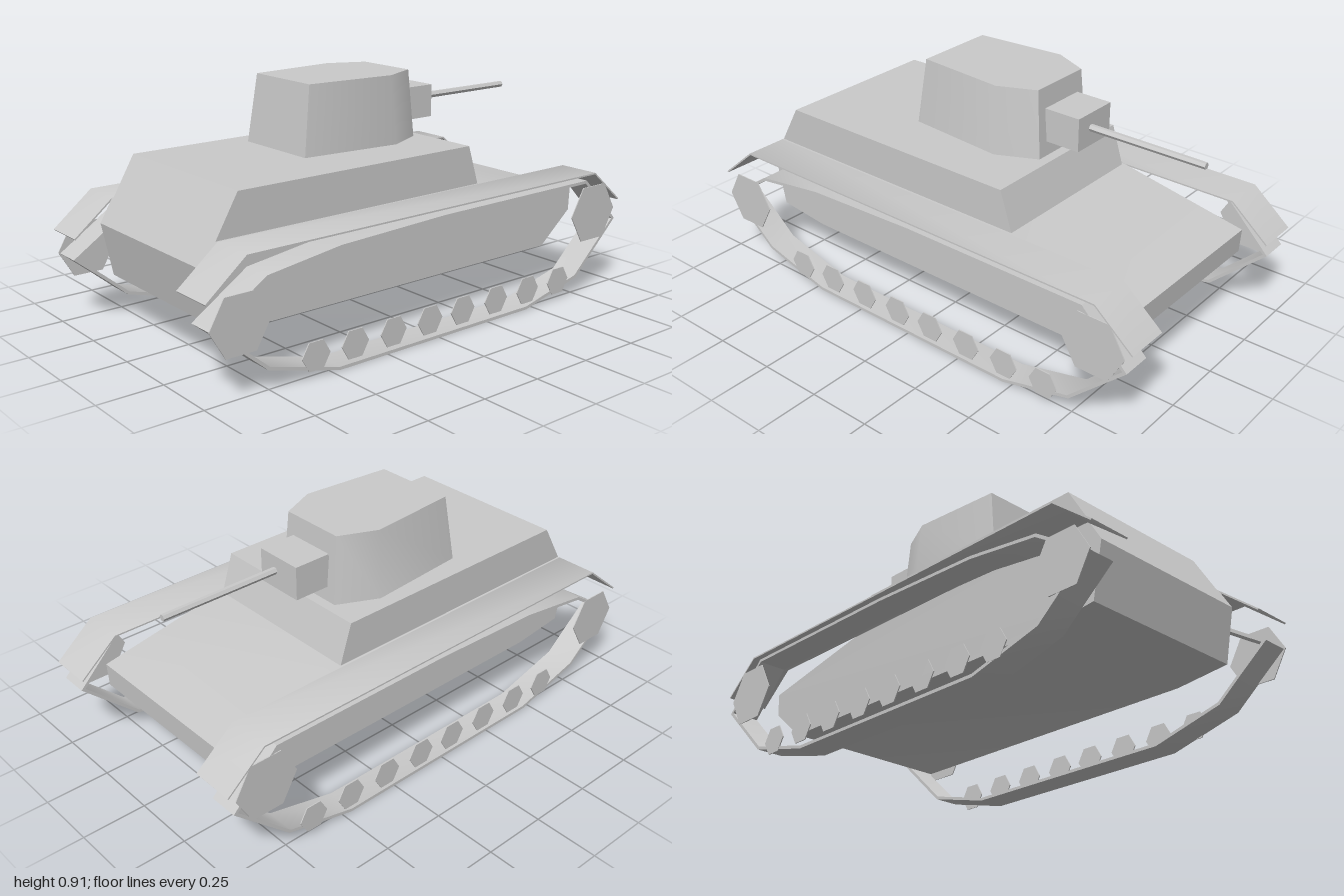
import * as THREE from 'three';
import { toCreasedNormals } from 'three/addons/utils/BufferGeometryUtils.js';
import { ConvexGeometry } from 'three/addons/geometries/ConvexGeometry.js';

const paint = new THREE.MeshStandardMaterial({ color: 0xcacaca });
paint.name = 'plainGrey';
const CREASE = 0.72;

const toPoints = (list) => list.map(([z, y]) => new THREE.Vector2(z, y));

function addMesh(parent, name, geometry) {
  const mesh = new THREE.Mesh(geometry, paint);
  mesh.name = name;
  parent.add(mesh);
  return mesh;
}

// Extrude a side profile (z, y) across the given width, centred on x = 0
function sideExtrude(shape, width) {
  const geo = new THREE.ExtrudeGeometry(shape, { depth: width, bevelEnabled: false });
  geo.translate(0, 0, -width / 2);
  geo.rotateY(-Math.PI / 2);
  return toCreasedNormals(geo, CREASE);
}

// Shift a polyline to its right-hand side by distance d, with mitred corners
function offset(pts, d, closed) {
  const n = pts.length;
  const normal = (a, b) => new THREE.Vector2(b.y - a.y, a.x - b.x).normalize();
  return pts.map((p, i) => {
    const prev = closed || i > 0 ? pts[(i + n - 1) % n] : null;
    const next = closed || i < n - 1 ? pts[(i + 1) % n] : null;
    const n1 = prev ? normal(prev, p) : normal(p, next);
    const n2 = next ? normal(p, next) : n1;
    const mitre = n1.clone().add(n2).normalize();
    return p.clone().addScaledVector(mitre, d / mitre.dot(n1));
  });
}

// Thin six-sided wheel disc with corners pointing fore and aft
function wheel(parent, name, radius, x, y, z) {
  const geo = new THREE.CylinderGeometry(radius, radius, 0.004, 6);
  geo.rotateZ(Math.PI / 2);
  const mesh = addMesh(parent, name, toCreasedNormals(geo, CREASE));
  mesh.position.set(x, y, z);
}

function runningGear(side) {
  const group = new THREE.Group();
  group.name = side > 0 ? 'leftRunningGear' : 'rightRunningGear';

  // Track loop, listed clockwise so the offset goes inward
  const outer = toPoints([
    [0.865, 0.165], [0.765, 0.08], [0.47, 0], [-0.465, 0], [-0.75, 0.07],
    [-0.975, 0.28], [-0.79, 0.467], [-0.02, 0.465], [0.46, 0.447],
    [0.765, 0.406], [0.982, 0.262],
  ]);
  // The inner loop runs the opposite way so its faces point into the opening
  const inner = offset(outer, 0.012, true).reverse();
  const trackShape = new THREE.Shape(outer);
  trackShape.holes.push(new THREE.Path(inner));
  addMesh(group, 'track', sideExtrude(trackShape, 0.114)).position.x = side * 0.467;

  // Wheel discs flush with the outer edge of the track
  const x = side * 0.523;
  wheel(group, 'frontWheel', 0.119, x, 0.265, 0.87);
  wheel(group, 'rearWheel', 0.128, x, 0.327, -0.837);
  [0.57, 0.4, 0.225, 0.05, -0.115, -0.29, -0.465, -0.64].forEach((z, i) =>
    wheel(group, `roadWheel${i + 1}`, 0.06, x, 0.08, z));
  return group;
}

export function createModel() {
  const model = new THREE.Group();
  model.name = 'tank';

  // Lower hull with sloping rear deck
  const hull = new THREE.Shape(toPoints([
    [0.841, 0.49], [-0.36, 0.49], [-0.89, 0.388], [-0.885, 0.295], [-0.73, 0.168],
    [0.63, 0.168], [0.85, 0.193], [0.893, 0.402],
  ]));
  addMesh(model, 'hull', sideExtrude(hull, 0.71));

  // Raised cabin on the hull
  const cabin = new THREE.Shape(toPoints([
    [0.75, 0.645], [-0.305, 0.645], [-0.355, 0.49], [0.841, 0.49],
  ]));
  addMesh(model, 'superstructure', sideExtrude(cabin, 0.69));

  // Turret: tapered six-sided block, set off to one side
  const base = [[-0.255, 0.3], [0.112, 0.3], [0.147, -0.11], [0.072, -0.266], [-0.213, -0.266], [-0.289, -0.11]];
  const roof = [[-0.235, 0.265], [0.095, 0.265], [0.125, -0.1], [0.06, -0.245], [-0.201, -0.245], [-0.266, -0.1]];
  const corners = [
    ...base.map(([x, z]) => new THREE.Vector3(x, 0.645, z)),
    ...roof.map(([x, z]) => new THREE.Vector3(x, 0.91, z)),
  ];
  addMesh(model, 'turret', toCreasedNormals(new ConvexGeometry(corners), CREASE));

  // Gun mount and barrel
  const mount = addMesh(model, 'gunMount', new THREE.BoxGeometry(0.195, 0.13, 0.15));
  mount.position.set(-0.072, 0.765, -0.328);
  const barrelGeo = new THREE.CylinderGeometry(0.013, 0.014, 0.49, 6);
  barrelGeo.rotateY(Math.PI / 6);
  barrelGeo.rotateX(-Math.PI / 2);
  const barrel = addMesh(model, 'gunBarrel', toCreasedNormals(barrelGeo, CREASE));
  barrel.position.set(-0.051, 0.771, -0.637);

  // Fenders and running gear on both sides
  const fenderTop = toPoints([[1, 0.36], [0.84, 0.491], [-0.84, 0.491], [-0.995, 0.36]]);
  const fenderUnder = offset(fenderTop, -0.006, false);
  const fenderShape = new THREE.Shape([...fenderTop, ...fenderUnder.reverse()]);
  for (const side of [1, -1]) {
    const fender = addMesh(model, side > 0 ? 'leftFender' : 'rightFender', sideExtrude(fenderShape, 0.17));
    fender.position.x = side * 0.44;
    model.add(runningGear(side));
  }
  return model;
}
